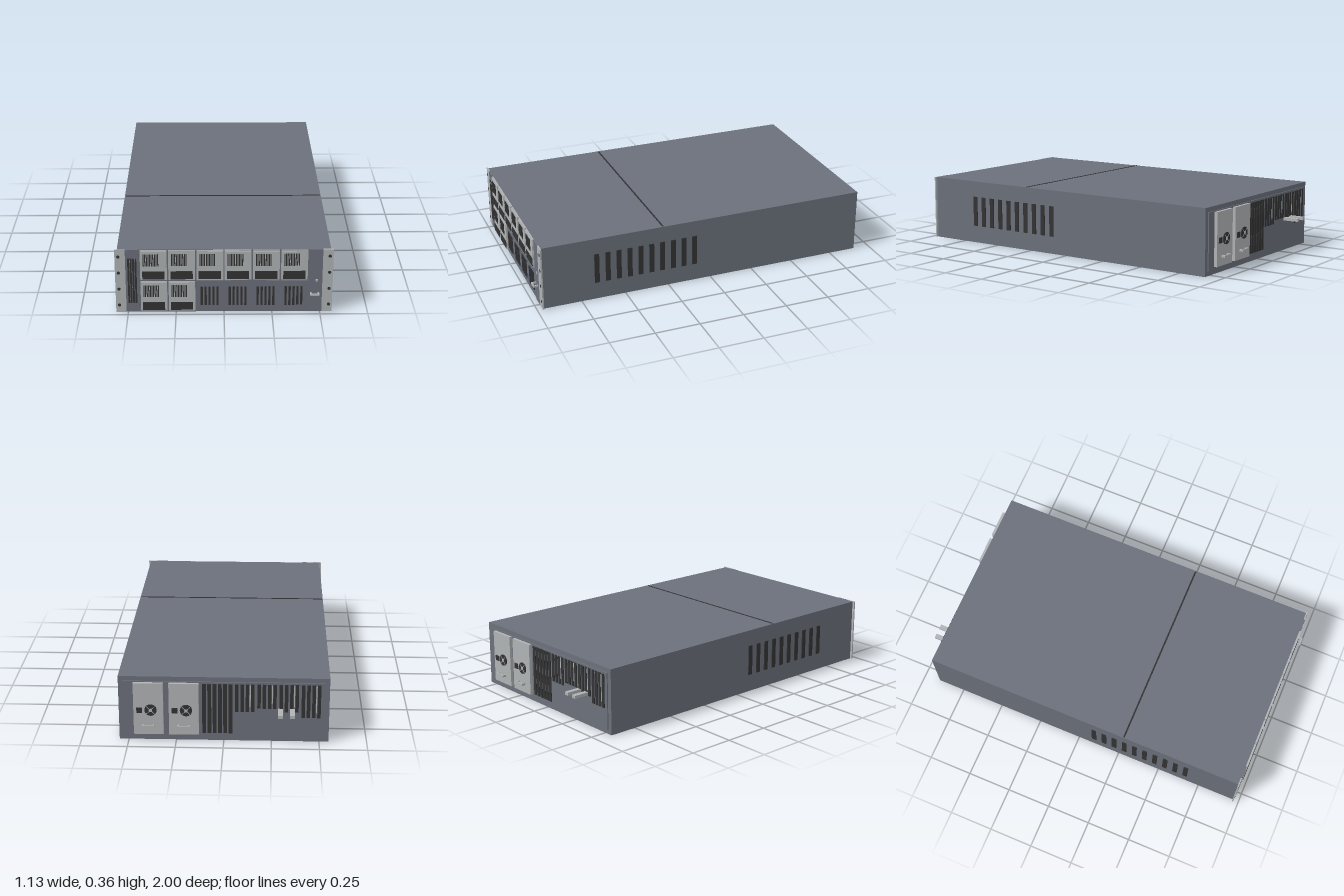
import * as THREE from 'three';

const mat = (name, color) => {
  const m = new THREE.MeshStandardMaterial({ color });
  m.name = name;
  return m;
};

export function createModel() {
  const steel = mat('blueGreySteel', 0x6b707b);
  const light = mat('lightGrey', 0xb0b3b5);
  const dark = mat('darkGrey', 0x333333);
  const root = new THREE.Group();

  // Box given by its limits on each axis
  const box = (name, m, x0, x1, y0, y1, z0, z1, parent = root) => {
    const mesh = new THREE.Mesh(new THREE.BoxGeometry(x1 - x0, y1 - y0, z1 - z0), m);
    mesh.position.set((x0 + x1) / 2, (y0 + y1) / 2, (z0 + z1) / 2);
    mesh.name = name;
    parent.add(mesh);
    return mesh;
  };
  const disc = (name, m, x, y, z, r, h, parent = root) => {
    const mesh = new THREE.Mesh(new THREE.CylinderGeometry(r, r, h, 24), m);
    mesh.rotation.x = Math.PI / 2;
    mesh.position.set(x, y, z);
    mesh.name = name;
    parent.add(mesh);
  };
  const group = (name) => {
    const g = new THREE.Group();
    g.name = name;
    root.add(g);
    return g;
  };
  // Row of upright bars along x
  const bars = (name, m, x, n, pitch, w, y0, y1, z0, z1, parent) => {
    for (let i = 0; i < n; i++) box(name, m, x + i * pitch, x + i * pitch + w, y0, y1, z0, z1, parent);
  };
  // Pull handle: two posts and a grip, standing out from zBase to zTip
  const handle = (name, m, x0, x1, y0, y1, zBase, zTip, t, parent = root) => {
    const s = Math.sign(zTip - zBase);
    const span = (a, b) => [Math.min(a, b), Math.max(a, b)];
    box(name + 'Post', m, x0, x0 + t, y0, y1, ...span(zBase, zTip - s * t), parent);
    box(name + 'Post', m, x1 - t, x1, y0, y1, ...span(zBase, zTip - s * t), parent);
    box(name + 'Grip', m, x0, x1, y0, y1, ...span(zTip - s * t, zTip), parent);
  };

  // Chassis and lid seam
  box('chassis', steel, -0.55, 0.55, 0, 0.36, -0.907, 0.966);
  box('lidSeam', dark, -0.545, 0.545, 0.36, 0.362, 0.275, 0.284);

  // Side vents
  for (const s of [-1, 1]) {
    const g = group(s > 0 ? 'leftVents' : 'rightVents');
    for (let i = 0; i < 10; i++) {
      const z = 0.097 + i * 0.0626;
      const x = s * 0.552;
      box('sideVent', dark, x - 0.003, x + 0.003, 0.099, 0.27, z - 0.0135, z + 0.0135, g);
    }
  }

  // Rack ears with screw holes
  for (const s of [-1, 1]) {
    const g = group(s > 0 ? 'leftEar' : 'rightEar');
    const ear = box('ear', light, -0.027, 0.027, 0.002, 0.361, 0.964, 0.972, g);
    ear.position.x = s * 0.536;
    for (const y of [0.043, 0.136, 0.229, 0.322]) disc('earHole', dark, s * 0.545, y, 0.972, 0.0085, 0.003, g);
  }

  // Front end panels
  box('rightEndPanel', steel, -0.509, -0.44, 0.003, 0.36, 0.964, 0.972);
  box('leftEndPanel', steel, 0.439, 0.509, 0.003, 0.36, 0.964, 0.972);
  const grille = group('endGrille');
  bars('grilleSlot', dark, -0.498, 4, 0.0125, 0.0095, 0.055, 0.312, 0.971, 0.974, grille);
  bars('grilleClip', light, -0.486, 3, 0.0125, 0.002, 0.292, 0.312, 0.971, 0.975, grille);
  box('powerButton', light, 0.474, 0.487, 0.177, 0.19, 0.971, 0.976);
  handle('panelHandle', light, 0.447, 0.494, 0.105, 0.115, 0.971, 1, 0.008);

  // Drive bays: six above, two below, then vented blanks
  const bay = (col, y0) => {
    const g = group('driveBay');
    const cx = -0.364 + col * 0.1455;
    const h = 0.17;
    box('driveFrame', light, cx - 0.069, cx + 0.069, y0, y0 + h, 0.965, 0.973, g);
    box('driveFace', light, cx - 0.064, cx + 0.064, y0 + 0.005, y0 + h - 0.005, 0.972, 0.977, g);
    bars('driveVent', dark, cx - 0.054, 10, 0.0083, 0.0052, y0 + 0.083, y0 + 0.151, 0.976, 0.979, g);
    box('driveLatch', dark, cx - 0.058, cx + 0.057, y0 + 0.008, y0 + 0.053, 0.976, 0.98, g);
  };
  for (let c = 0; c < 6; c++) {
    bay(c, 0.188);
    if (c < 2) bay(c, 0.009);
    else {
      const g = group('blankBay');
      const cx = -0.364 + c * 0.1455;
      box('blankPanel', steel, cx - 0.07, cx + 0.07, 0.006, 0.181, 0.965, 0.97, g);
      bars('blankVent', dark, cx - 0.049, 5, 0.0205, 0.0115, 0.04, 0.148, 0.969, 0.973, g);
    }
  }

  // Rear plate
  box('rearPlate', steel, -0.525, 0.525, 0.025, 0.335, -0.913, -0.905);

  // Power supplies with inlet, fan and handle
  for (const cx of [0.208, 0.393]) {
    const g = group('powerSupply');
    box('supplyBody', light, cx - 0.078, cx + 0.078, 0.04, 0.33, -0.93, -0.905, g);
    box('powerInlet', dark, cx + 0.032, cx + 0.062, 0.163, 0.193, -0.934, -0.929, g);
    disc('fanGrille', dark, cx - 0.012, 0.18, -0.932, 0.032, 0.006, g);
    disc('fanHub', light, cx - 0.012, 0.18, -0.934, 0.009, 0.006, g);
    for (const a of [0, Math.PI / 2]) {
      const spoke = box('fanSpoke', light, -0.03, 0.03, -0.0015, 0.0015, -0.001, 0.001, g);
      spoke.position.set(cx - 0.012, 0.18, -0.9355);
      spoke.rotation.z = a + Math.PI / 4;
    }
    handle('supplyHandle', light, cx - 0.03, cx + 0.032, 0.085, 0.097, -0.928, -0.952, 0.007, g);
  }

  // Rear expansion slots: tall group, then shorter groups
  const slots = group('expansionSlots');
  bars('tallSlot', dark, -0.045, 6, 0.0275, 0.02, 0.045, 0.325, -0.917, -0.912, slots);
  for (const [x, n, y0] of [[-0.16, 4, 0.17], [-0.275, 4, 0.19], [-0.39, 4, 0.17], [-0.505, 4, 0.14]]) {
    bars('shortSlot', dark, x, n, 0.0275, 0.018, y0, 0.325, -0.917, -0.912, slots);
    box('slotBracket', light, x + 0.0195, x + 0.0255, y0 + 0.03, 0.32, -0.917, -0.912, slots);
  }

  // Rear connector tabs
  for (const x of [-0.357, -0.295]) box('rearTab', light, x - 0.013, x + 0.013, 0.173, 0.19, -1, -0.912);

  return root;
}
